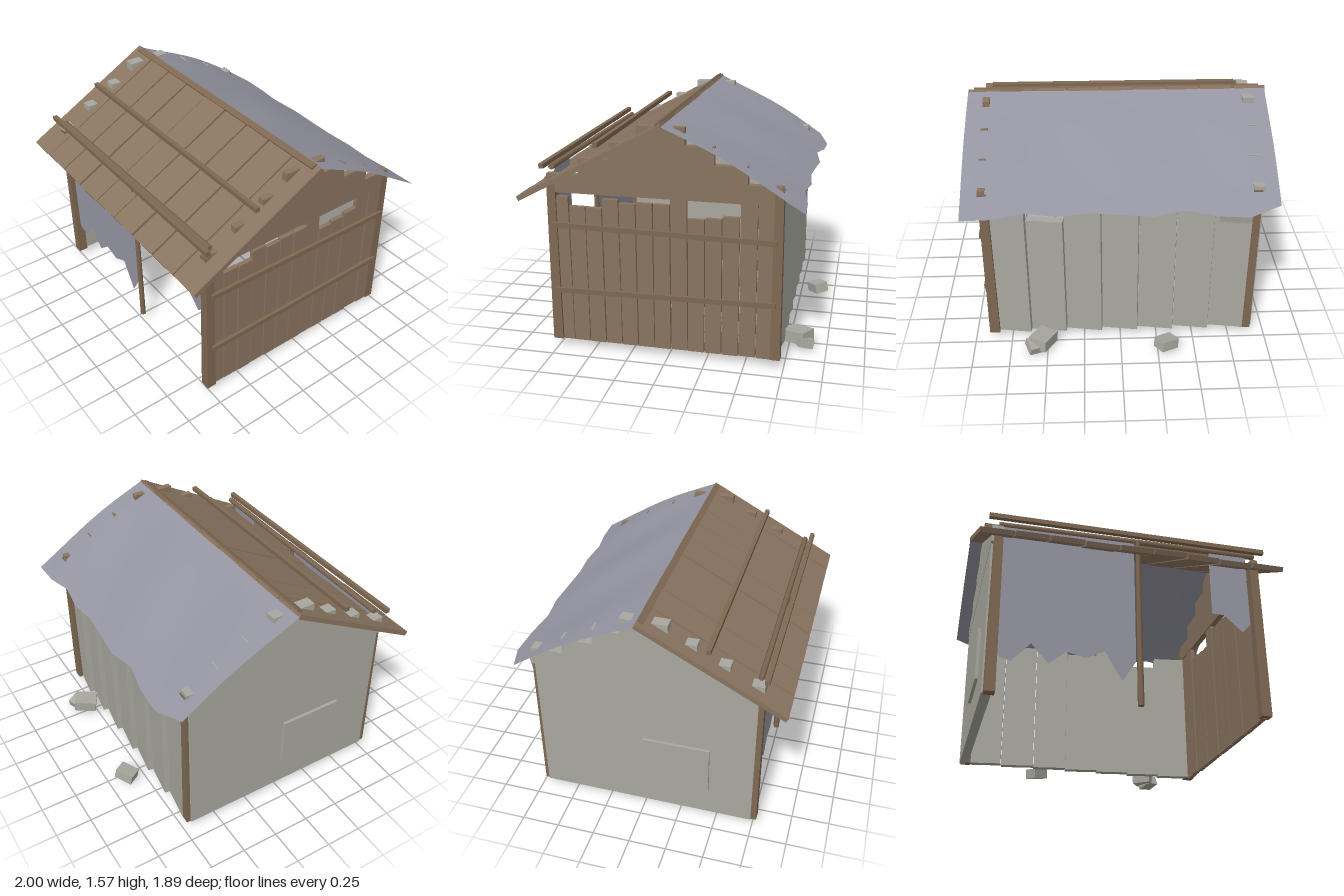
import * as THREE from 'three';

const mat = (name, color, side = THREE.FrontSide) => {
  const m = new THREE.MeshStandardMaterial({ color, side });
  m.name = name;
  return m;
};

export function createModel() {
  const model = new THREE.Group();
  model.name = 'shack';
  const plankWood = mat('plank wood', 0x8a7460);
  const battenWood = mat('batten wood', 0x7f6852);
  const concrete = mat('pale concrete', 0xa9a89f);
  const cloth = mat('tarpaulin', 0x9495a1, THREE.DoubleSide);

  let seed = 7;
  const jitter = (a) => {
    seed = (seed * 16807) % 2147483647;
    return (seed / 2147483647 - 0.5) * 2 * a;
  };
  const add = (name, geometry, material, x = 0, y = 0, z = 0) => {
    const mesh = new THREE.Mesh(geometry, material);
    mesh.name = name;
    mesh.position.set(x, y, z);
    model.add(mesh);
    return mesh;
  };
  const box = (name, material, w, h, d, x, y, z) =>
    add(name, new THREE.BoxGeometry(w, h, d), material, x, y, z);
  // Box given by its lower and upper corners
  const span = (name, material, a, b) =>
    box(name, material, ...a.map((v, i) => b[i] - v), ...a.map((v, i) => (v + b[i]) / 2));

  // Tapered corner posts
  for (const sx of [-1, 1]) for (const z of [0.745, -0.695]) {
    const geo = new THREE.BoxGeometry(0.068, 1.11, 0.065);
    const p = geo.attributes.position;
    for (let i = 0; i < p.count; i++) if (p.getY(i) > 0) {
      p.setX(i, p.getX(i) * 0.85);
      p.setZ(i, p.getZ(i) * 0.85);
    }
    geo.computeVertexNormals();
    add('cornerPost', geo, battenWood, sx * 0.866, 0.62, z);
  }

  // Door pole and the crossbar carrying the curtains
  add('doorPole', new THREE.CylinderGeometry(0.017, 0.021, 1.17, 6), battenWood, 0.055, 0.655, 0.745);
  const bar = add('curtainBar', new THREE.CylinderGeometry(0.018, 0.02, 1.75, 6), battenWood, 0.01, 1.235, 0.738);
  bar.rotation.z = Math.PI / 2 + 0.008;

  // Plank wall on the left side
  const plankTops = [1.05, 0.99, 0.99, 1.05, 1.03, 1.04, 1.04, 1.08, 0.96, 0.97, 0.99, 1.08, 1.08];
  plankTops.forEach((top, i) => {
    const z = 0.69 - i * 0.1095;
    const plank = box('wallPlank', plankWood, 0.03, top - 0.063, 0.103, 0.872 + jitter(0.004), (top + 0.063) / 2, z);
    plank.rotation.x = jitter(0.003);
  });
  for (const [y, tilt] of [[0.857, -0.014], [0.43, 0.014]]) {
    const rail = box('wallRail', battenWood, 0.022, 0.034, 1.43, 0.902, y, 0.025);
    rail.rotation.x = tilt;
  }

  // Slab wall on the right side with a raised panel
  span('slabWall', concrete, [-0.91, 0.065, -0.7], [-0.85, 1.08, 0.74]);
  span('wallPanel', concrete, [-0.93, 0.27, 0.01], [-0.905, 0.62, 0.45]);

  // Stepped gables, one of wood and one of concrete
  const steps = [[1.08, 1.2, 0.77, -0.715], [1.2, 1.31, 0.56, -0.505],
    [1.31, 1.42, 0.355, -0.3], [1.42, 1.53, 0.18, -0.12]];
  for (const [y0, y1, zFront, zBack] of steps) {
    span('woodGableBoard', plankWood, [0.85, y0, zBack], [0.895, y1, zFront]);
    span('concreteGableBlock', concrete, [-0.912, y0, zBack], [-0.838, y1, zFront]);
  }

  // Rear wall of slightly turned slabs
  const slabTops = [1.06, 1.03, 1.08, 1.02, 1.1, 0.965, 1.06];
  slabTops.forEach((top, i) => {
    const slab = box('rearSlab', concrete, 0.238, top - 0.068, 0.055, -0.73 + i * 0.2435, (top + 0.068) / 2, -0.685);
    slab.rotation.y = -0.15;
  });
  // Loose piece leaning under the eave
  const loose = box('looseSlab', concrete, 0.2, 0.12, 0.035, -0.74, 1.01, -0.735);
  loose.rotation.set(-0.2, -0.1, 0);

  // Plank half of the roof
  const slope = Math.atan2(0.5, 0.93);
  for (let i = 0; i < 9; i++) {
    const lift = jitter(0.005);
    const plank = box('roofPlank', plankWood, 0.212, 0.032, 1.05, -0.894 + i * 0.2235, 1.303 + lift, 0.463);
    plank.rotation.set(slope + jitter(0.006), jitter(0.006), 0);
  }

  // Ridge beam and long poles above the planks
  const ridge = box('ridgeBeam', battenWood, 1.92, 0.036, 0.042, 0, 1.55, 0.025);
  ridge.rotation.x = slope;
  box('roofPole', battenWood, 1.87, 0.03, 0.03, 0, 1.405, 0.43);
  box('roofPole', battenWood, 1.87, 0.03, 0.03, 0, 1.255, 0.785);

  // Sagging sheet over the rear half of the roof
  const edge = [-0.8, -0.87, -0.86, -0.82, -0.855, -0.84, -0.825, -0.845, -0.82, -0.855, -0.86];
  const sheet = new THREE.PlaneGeometry(2, 1, 20, 8);
  const sp = sheet.attributes.position;
  for (let i = 0; i < sp.count; i++) {
    const x = sp.getX(i), v = 0.5 - sp.getY(i);
    const t = (x + 1) * 5, k = Math.min(9, Math.floor(t));
    const z = v * THREE.MathUtils.lerp(edge[k], edge[k + 1], t - k);
    const wave = 0.012 * Math.sin(x * 7 + v * 3) * Math.sin(v * Math.PI);
    sp.setXYZ(i, x, 1.55 + z * 0.55 + 0.022 * Math.sin(v * Math.PI) + wave, z);
  }
  // Order the faces so that the sheet's front looks up
  sheet.index.array.reverse();
  sheet.computeVertexNormals();
  add('roofSheet', sheet, cloth);

  // Torn curtains at the front
  const curtain = (top, hem) => {
    const shape = new THREE.Shape();
    shape.moveTo(hem[0][0], top);
    hem.forEach(([x, y]) => shape.lineTo(x, y));
    shape.lineTo(hem[hem.length - 1][0], top);
    add('tornCurtain', new THREE.ShapeGeometry(shape), cloth, 0, 0, 0.742);
  };
  curtain(1.23, [[-0.84, 0.31], [-0.75, 0.28], [-0.63, 0.41], [-0.52, 0.29], [-0.41, 0.38],
    [-0.29, 0.35], [-0.17, 0.41], [-0.06, 0.22], [0.03, 0.36]]);
  curtain(1.225, [[0.555, 0.765], [0.64, 0.76], [0.76, 0.65], [0.82, 0.71]]);

  // Rubble behind the rear wall
  const rubble = [
    [0.13, 0.07, 0.1, -0.305, 0.075, -0.875, 0.15, 0.6, 0.1],
    [0.13, 0.08, 0.16, 0.53, 0.075, -0.81, 0.12, -0.5, 0.1],
    [0.11, 0.06, 0.1, 0.58, 0.055, -0.85, -0.3, 0.4, 0.25],
  ];
  for (const [w, h, d, x, y, z, rx, ry, rz] of rubble)
    box('rubbleBlock', concrete, w, h, d, x, y, z).rotation.set(rx, ry, rz);

  return model;
}
